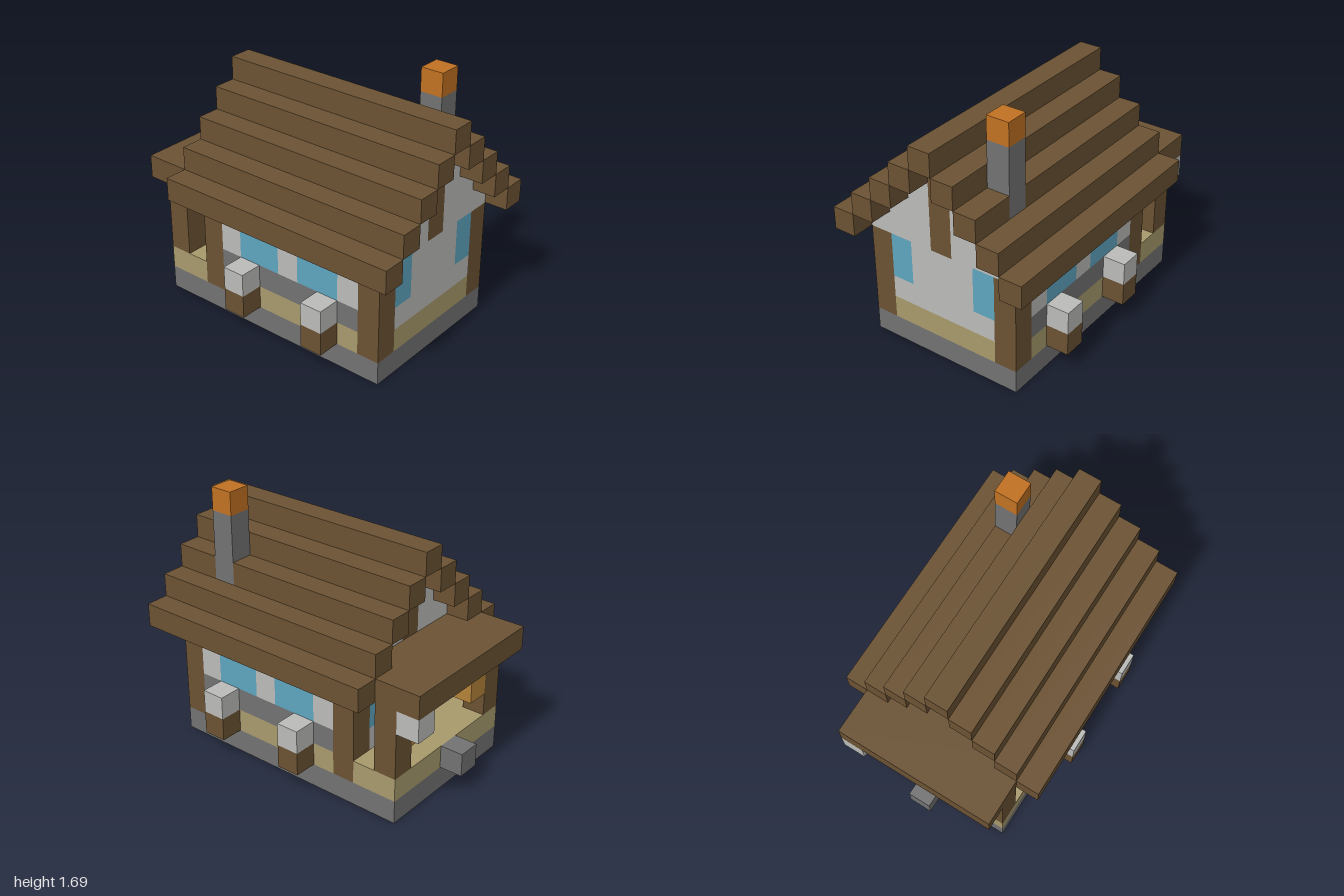
import * as THREE from 'three';

const U = 2 / 13; // edge of one block

const mat = (name, color) => {
  const m = new THREE.MeshStandardMaterial({ color });
  m.name = name;
  return m;
};

export function createModel() {
  const model = new THREE.Group();
  model.name = 'blockCottage';

  const wood = mat('brown wood', 0x6b5233);
  const stone = mat('grey stone', 0x727272);
  const plaster = mat('pale plaster', 0xbbbbb9);
  const sand = mat('tan plank', 0xa89a6c);
  const glass = mat('blue glass', 0x5ea5bf);
  const ember = mat('orange ember', 0xc17122);
  const lamp = mat('golden lamp', 0xb5833a);

  // Box covering an inclusive range of block indices on each axis
  function block(name, material, [x0, x1], [y0, y1], [z0, z1]) {
    const geo = new THREE.BoxGeometry((x1 - x0 + 1) * U, (y1 - y0 + 1) * U, (z1 - z0 + 1) * U);
    const mesh = new THREE.Mesh(geo, material);
    mesh.name = name;
    mesh.position.set(((x0 + x1) / 2) * U, ((y0 + y1 + 1) / 2) * U, ((z0 + z1) / 2) * U);
    model.add(mesh);
  }
  // Same box on both sides of the house
  function pair(name, material, [x0, x1], y, z) {
    block(name + 'Left', material, [x0, x1], y, z);
    block(name + 'Right', material, [-x1, -x0], y, z);
  }

  // Foundation, porch floor and doorstep
  block('foundation', stone, [-3, 3], [0, 0], [-5, 5]);
  block('porchFloor', sand, [-3, 3], [1, 1], [-5, -4]);
  block('doorstep', stone, [0, 0], [1, 1], [-6, -6]);

  // Corner and porch posts
  pair('frontPost', wood, [3, 3], [1, 4], [5, 5]);
  pair('backPost', wood, [3, 3], [1, 4], [-3, -3]);
  pair('porchPost', wood, [3, 3], [2, 4], [-5, -5]);
  pair('porchLamp', lamp, [2, 2], [3, 3], [-5, -5]);

  // Gable walls with corner windows and a centre beam
  for (const [side, z] of [['front', 5], ['back', -3]]) {
    const at = [z, z];
    block(side + 'Skirting', sand, [-2, 2], [1, 1], at);
    block(side + 'LowerWall', plaster, [-2, 2], [2, 2], at);
    block(side + 'MiddleWall', plaster, [-1, 1], [3, 4], at);
    pair(side + 'Window', glass, [2, 2], [3, 4], at);
    for (let i = 0; i < 3; i++) pair(side + 'Gable', plaster, [1, 3 - i], [5 + i, 5 + i], at);
    block(side + 'GableBeam', wood, [0, 0], [5, 8], at);
  }

  // Long side walls
  pair('sideSkirting', sand, [3, 3], [1, 1], [-2, 4]);
  pair('sideStoneBand', stone, [3, 3], [2, 2], [-2, 4]);
  pair('sideWallTop', plaster, [3, 3], [5, 5], [-2, 4]);
  for (const z of [-2, 1, 4]) pair('sideWall', plaster, [3, 3], [3, 4], [z, z]);
  for (const z of [-1, 2]) pair('sideWindow', glass, [3, 3], [3, 4], [z, z + 1]);

  // Planters outside the windows
  for (const z of [-1, 3]) {
    pair('planter', wood, [4, 4], [1, 1], [z, z]);
    pair('planterTop', plaster, [4, 4], [2, 2], [z, z]);
  }

  // Stepped roof, with a gap on one side for the chimney
  for (const x of [-4, -3, -2, -1, 0, 1, 3, 4]) {
    const y = 9 - Math.abs(x);
    block('roofBeam', wood, [x, x], [y, y], [-4, 6]);
  }
  block('roofBeamBehindChimney', wood, [2, 2], [7, 7], [-4, 3]);
  block('roofBeamBeforeChimney', wood, [2, 2], [7, 7], [5, 6]);

  // Porch roof with a hanging block at one corner
  block('porchRoof', wood, [-3, 3], [5, 5], [-6, -4]);
  block('hangingBlock', plaster, [3, 3], [4, 4], [-6, -6]);

  // Chimney
  block('chimney', stone, [2, 2], [7, 9], [4, 4]);
  block('chimneyFire', ember, [2, 2], [10, 10], [4, 4]);

  return model;
}
